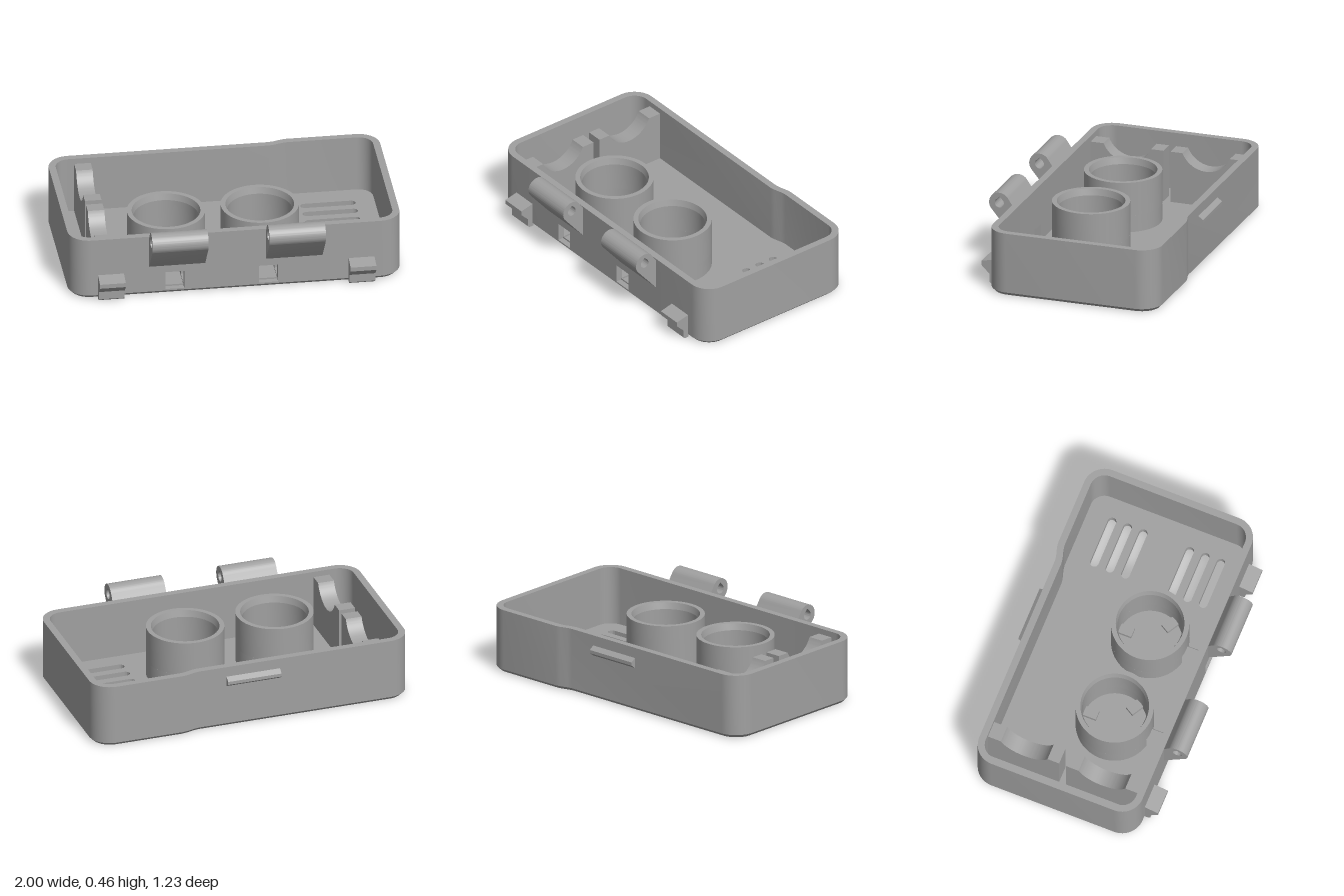
import * as THREE from 'three';
import { toCreasedNormals } from 'three/addons/utils/BufferGeometryUtils.js';

const HEIGHT = 0.395, WALL = 0.042, FRONT = 0.465, CHAMFER = 0.02, FLOOR = 0.04;
const PORT = { half: 0.057, y0: 0.03, y1: 0.145 };
const CUPS = [-0.37, 0.195], CUP_Z = 0.085, CUP_R = 0.234, CUP_IN = 0.195, CUP_TOP = 0.355;

const V = (x, y) => new THREE.Vector2(x, y);

// Plan outline (x, -z), inset by d, counter-clockwise, starting and ending on the front edge
function outline(d) {
  const r = 0.13 - d, pts = [V(0.5, -FRONT + d)];
  const corner = (cx, cy, start) => {
    for (let i = 0; i <= 12; i++) {
      const a = start + (i / 12) * Math.PI / 2;
      pts.push(V(cx + r * Math.cos(a), cy + r * Math.sin(a)));
    }
  };
  corner(0.87, -FRONT + 0.13, -Math.PI / 2);
  corner(0.87, 0.48, 0);
  for (const [x, y] of [[0.45, 0.61], [0.42, 0.605], [0.37, 0.59], [0.34, 0.585]]) pts.push(V(x, y - d));
  corner(-0.87, 0.455, Math.PI / 2);
  corner(-0.87, -FRONT + 0.13, Math.PI);
  pts.push(V(-0.5, -FRONT + d));
  return pts;
}

// Extrude a plan shape upwards from y0 to y1
function slab(shape, y0, y1) {
  const g = new THREE.ExtrudeGeometry(shape, { depth: y1 - y0, bevelEnabled: false, curveSegments: 32 });
  g.rotateX(-Math.PI / 2).translate(0, y0, 0);
  return toCreasedNormals(g, 0.5);
}

// Extrude a side profile (z, y) along x from x0 to x1
function prism(shape, x0, x1) {
  const g = new THREE.ExtrudeGeometry(shape, { depth: x1 - x0, bevelEnabled: false, curveSegments: 24 });
  g.rotateY(-Math.PI / 2).translate(x1, 0, 0);
  return toCreasedNormals(g, 0.5);
}

const poly = (pts) => new THREE.Shape(pts.map(([x, y]) => V(x, y)));

function rectPath(x0, y0, x1, y1) {
  return new THREE.Path([V(x0, y0), V(x0, y1), V(x1, y1), V(x1, y0)]);
}

function ventHoles() {
  return [-0.41, -0.31, -0.21, 0.09, 0.19, 0.29].map((z) => {
    const p = new THREE.Path(), r = 0.026;
    p.absarc(0.815, -z, r, -Math.PI / 2, Math.PI / 2, false);
    p.absarc(0.535, -z, r, Math.PI / 2, Math.PI * 1.5, false);
    p.closePath();
    return p;
  });
}

export function createModel() {
  const group = new THREE.Group();
  const plastic = new THREE.MeshStandardMaterial({ color: 0xa0a0a0 });
  plastic.name = 'grey plastic';
  const add = (name, geometry, parent = group) => {
    const m = new THREE.Mesh(geometry, plastic);
    m.name = name;
    parent.add(m);
    return m;
  };

  // Floor in two layers: the upper one has a shallow slot leading to each cup
  const base = new THREE.Shape(outline(CHAMFER));
  base.holes.push(...ventHoles());
  add('floorBase', slab(base, 0, PORT.y0));
  const top = new THREE.Shape(outline(0.035));
  top.holes.push(...ventHoles());
  for (const x of CUPS) top.holes.push(rectPath(x - PORT.half, -0.425, x + PORT.half, -0.25));
  add('floorTop', slab(top, PORT.y0, FLOOR));

  // Chamfer around the bottom edge
  const low = outline(CHAMFER), high = outline(0), n = low.length;
  const pos = [], idx = [];
  for (let i = 0; i < n; i++) {
    pos.push(low[i].x, 0, -low[i].y, high[i].x, CHAMFER, -high[i].y);
    const a = 2 * i, b = 2 * ((i + 1) % n);
    idx.push(a, b, b + 1, a, b + 1, a + 1);
  }
  const chamfer = new THREE.BufferGeometry();
  chamfer.setAttribute('position', new THREE.Float32BufferAttribute(pos, 3));
  chamfer.setIndex(idx);
  chamfer.computeVertexNormals();
  add('bottomChamfer', chamfer);

  // Walls: a C-shaped wall, closed by a front panel with two ports
  add('wall', slab(new THREE.Shape([...outline(0), ...outline(WALL).reverse()]), CHAMFER, HEIGHT));
  const panel = poly([[-0.5, CHAMFER], [0.5, CHAMFER], [0.5, HEIGHT], [-0.5, HEIGHT]]);
  for (const x of CUPS) panel.holes.push(rectPath(x - PORT.half, PORT.y0, x + PORT.half, PORT.y1));
  const panelGeo = new THREE.ExtrudeGeometry(panel, { depth: WALL, bevelEnabled: false });
  add('frontPanel', panelGeo.translate(0, 0, FRONT - WALL));

  // Cups, open towards the front port at the bottom, with three support tabs
  for (const x of CUPS) {
    const cup = new THREE.Group();
    cup.name = 'cup';
    cup.position.set(x, 0, CUP_Z);
    group.add(cup);
    const gapOut = Math.asin(PORT.half / CUP_R), gapIn = Math.asin(PORT.half / CUP_IN);
    const s = new THREE.Shape(), q = -Math.PI / 2;
    s.absarc(0, 0, CUP_R, q + gapOut, q + 2 * Math.PI - gapOut, false);
    s.absarc(0, 0, CUP_IN, q + 2 * Math.PI - gapIn, q + gapIn, true);
    s.closePath();
    add('cupLowerWall', slab(s, PORT.y0, PORT.y1), cup);
    const profile = [
      V(CUP_IN, PORT.y1), V(CUP_R, PORT.y1), V(CUP_R, CUP_TOP),
      V(0.205, CUP_TOP), V(CUP_IN, CUP_TOP - 0.04), V(CUP_IN, PORT.y1),
    ];
    add('cupUpperWall', toCreasedNormals(new THREE.LatheGeometry(profile, 64), 0.2), cup);
    for (let i = 0; i < 3; i++) {
      const a = Math.PI + i * 2 * Math.PI / 3;
      const tab = add('cupTab', new THREE.BoxGeometry(0.06, 0.025, 0.09), cup);
      tab.position.set(0.155 * Math.sin(a), 0.0675, 0.155 * Math.cos(a));
      tab.rotation.y = a;
    }
  }

  // Cradle ribs with a scooped top
  for (const [z0, z1, zc] of [[-0.55, -0.085, -0.31], [-0.04, 0.43, 0.19]]) {
    const r = 0.1625, y = 0.36, a = Math.asin(0.15 / r);
    const s = new THREE.Shape();
    s.moveTo(z0, 0.03);
    s.lineTo(z1, 0.03);
    s.lineTo(z1, y);
    s.absarc(zc, y + r * Math.cos(a), r, -Math.PI / 2 + a, -Math.PI / 2 - a, true);
    s.lineTo(z0, y);
    s.closePath();
    add('cradleRib', prism(s, -0.835, -0.735));
  }

  // Hinge lugs with a teardrop pin hole
  for (const [x0, x1] of [[-0.525, -0.187], [0.18, 0.52]]) {
    const s = new THREE.Shape();
    s.moveTo(0.46, 0.19);
    s.lineTo(0.465, 0.19);
    s.absarc(0.55, 0.395, 0.065, -0.69, 2.62, false);
    s.lineTo(0.465, 0.385);
    s.lineTo(0.46, 0.385);
    s.closePath();
    const hole = new THREE.Path();
    hole.absarc(0.55, 0.395, 0.029, Math.PI * 0.75, Math.PI * 2.25, false);
    hole.lineTo(0.55, 0.436);
    hole.closePath();
    s.holes.push(hole);
    add('hingeLug', prism(s, x0, x1));
  }

  // Hooked clips low on the front
  const clip = poly([[0.46, 0], [0.49, 0], [0.5, 0.01], [0.5, 0.06], [0.55, 0.11], [0.55, 0.137], [0.46, 0.157]]);
  for (const x of [-0.755, 0.755]) add('frontClip', prism(clip, x - 0.078, x + 0.078));

  // Latch ridge on the back
  const latch = poly([[-0.58, 0.265], [-0.58, 0.335], [-0.615, 0.31], [-0.615, 0.29]]);
  add('backLatch', prism(latch, -0.17, 0.168));

  return group;
}
